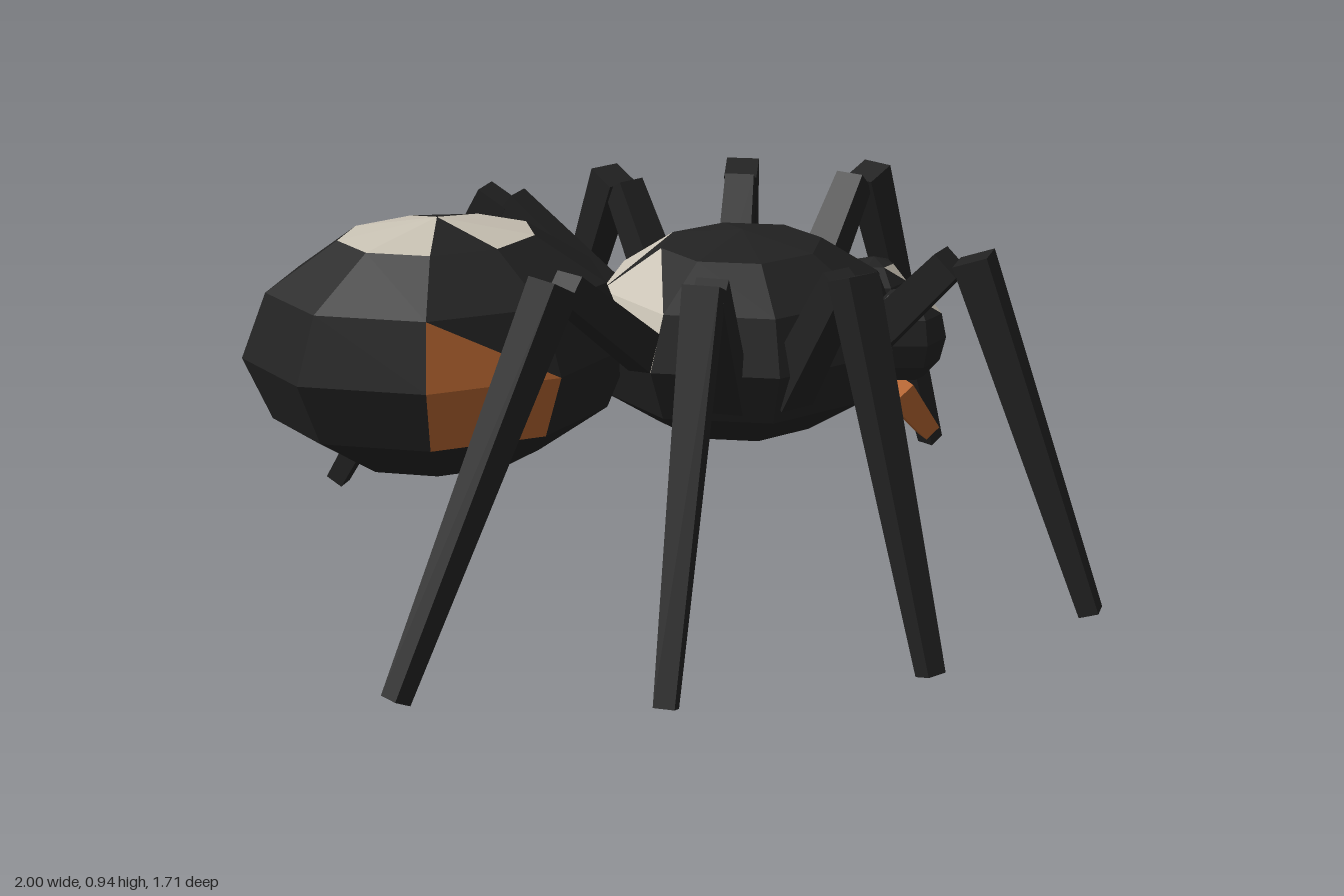
import * as THREE from 'three';

const material = (name, color) => {
  const m = new THREE.MeshStandardMaterial({ color });
  m.name = name;
  return m;
};

// Faceted ellipsoid; paint(ring, segment, half) gives the material slot of each triangle.
// half 0 is the upper triangle of a cell, half 1 the lower one.
function facetedBall(name, segs, rings, radii, centre, materials, paint) {
  const geo = new THREE.SphereGeometry(1, segs, rings).toNonIndexed();
  geo.scale(...radii);
  geo.computeVertexNormals();
  geo.clearGroups();
  let start = 0;
  for (let r = 0; r < rings; r++) {
    for (let s = 0; s < segs; s++) {
      for (let half = 0; half < 2; half++) {
        if ((r === 0 && half === 0) || (r === rings - 1 && half === 1)) continue;
        const slot = paint(r, s, half);
        const last = geo.groups[geo.groups.length - 1];
        if (last && last.materialIndex === slot) last.count += 3;
        else geo.addGroup(start, 3, slot);
        start += 3;
      }
    }
  }
  const mesh = new THREE.Mesh(geo, materials);
  mesh.name = name;
  mesh.position.set(...centre);
  return mesh;
}

// Square tapered bar from point a (half width wa) to point b (half width wb).
function taperedBar(name, a, b, wa, wb, mat) {
  const from = new THREE.Vector3(...a), to = new THREE.Vector3(...b);
  const dir = to.clone().sub(from);
  const length = dir.length();
  dir.normalize();
  let geo = new THREE.CylinderGeometry(wb * Math.SQRT2, wa * Math.SQRT2, length, 4, 1);
  geo.rotateY(Math.PI / 4);
  geo = geo.toNonIndexed();
  geo.computeVertexNormals();
  const side = new THREE.Vector3().crossVectors(dir, new THREE.Vector3(0, 1, 0)).normalize();
  const out = new THREE.Vector3().crossVectors(side, dir);
  geo.applyMatrix4(new THREE.Matrix4().makeBasis(side, dir, out));
  const mesh = new THREE.Mesh(geo, mat);
  mesh.name = name;
  mesh.position.copy(from.add(to).multiplyScalar(0.5));
  return mesh;
}

export function createModel() {
  const group = new THREE.Group();
  group.name = 'spider';
  const black = material('black', 0x222222);
  const pale = material('pale grey', 0xc9c2b4);
  const orange = material('orange', 0xb0622f);
  const body = [black, pale, orange];
  const midZ = -0.007;

  // Abdomen with a pale star on top and an orange patch on each side
  group.add(facetedBall('abdomen', 9, 6, [0.48, 0.32, 0.352], [-0.52, 0.63, midZ], body, (r, s, half) => {
    if (r === 0 && s !== 2 && s !== 6) return 1;
    if (r === 1 && s === 7 && half === 0) return 1;
    if (s === 2 && ((r === 2 && half === 1) || r === 3)) return 2;
    if (s === 6 && (r === 2 || (r === 3 && half === 0))) return 2;
    return 0;
  }));

  // Thorax with pale wedges at its rear
  group.add(facetedBall('thorax', 8, 6, [0.41, 0.265, 0.36], [0.235, 0.605, midZ], body, (r, s, half) => {
    const rear = s === 0 || s === 7;
    return rear && ((r === 1 && half === 1) || (r === 2 && half === 0)) ? 1 : 0;
  }));

  // Eyes with a pale glint
  for (const side of [1, -1]) {
    group.add(facetedBall('eye', 7, 6, [0.1, 0.122, 0.102], [0.625, 0.61, midZ + side * 0.133], body,
      (r, s, half) => (r === 1 && (s === 3 || s === 4 || (s === 2 && half === 0)) ? 1 : 0)));
  }

  // Fangs
  for (const side of [1, -1]) {
    group.add(taperedBar('fang', [0.625, 0.44, midZ + side * 0.078], [0.723, 0.316, midZ + side * 0.063],
      0.037, 0.023, orange));
  }

  // Legs: hip, knee and foot for one side, mirrored to the other
  const legs = [
    { name: 'frontLeg', hip: [0.46, 0.58, 0.2], knee: [0.645, 0.87, 0.375], shin: [0.69, 0.885, 0.40], foot: [0.968, 0.02, 0.583] },
    { name: 'frontMiddleLeg', hip: [0.28, 0.53, 0.27], knee: [0.355, 0.87, 0.46], shin: [0.365, 0.89, 0.49], foot: [0.48, 0.02, 0.805] },
    { name: 'rearMiddleLeg', hip: [0.13, 0.53, 0.27], knee: [0.035, 0.87, 0.46], shin: [0.015, 0.89, 0.49], foot: [-0.15, 0.02, 0.825] },
    { name: 'rearLeg', hip: [-0.02, 0.6, 0.17], knee: [-0.285, 0.87, 0.365], shin: [-0.31, 0.885, 0.385], foot: [-0.735, 0.022, 0.66] },
  ];
  for (const side of [1, -1]) {
    for (const { name, hip, knee, shin, foot } of legs) {
      const place = ([x, y, z]) => [x, y, midZ + side * z];
      const leg = new THREE.Group();
      leg.name = name;
      leg.add(taperedBar('upperLeg', place(hip), place(knee), 0.047, 0.038, black));
      leg.add(taperedBar('lowerLeg', place(shin), place(foot), 0.043, 0.025, black));
      group.add(leg);
    }
  }
  return group;
}
